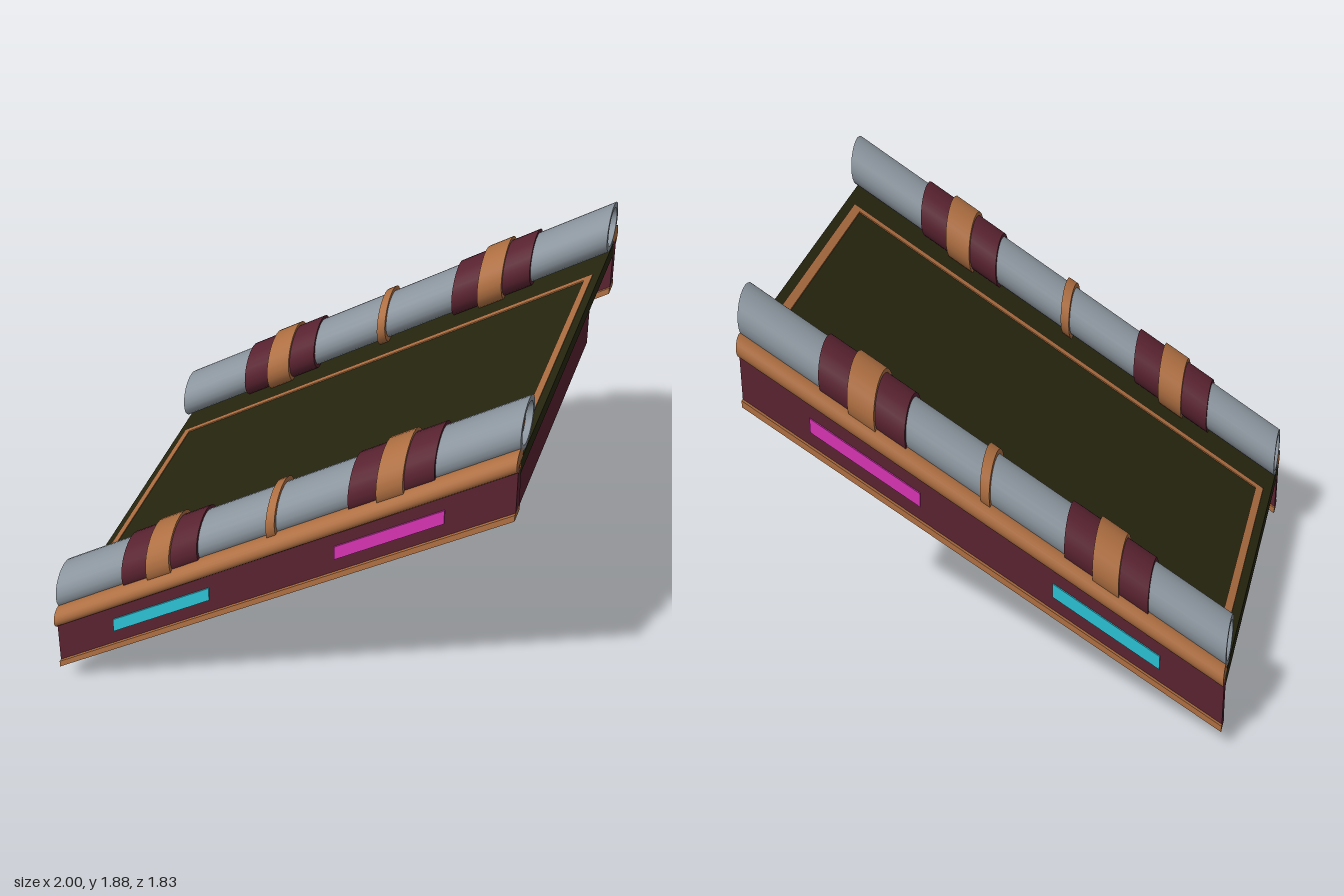
import * as THREE from 'three';
import { mergeGeometries } from 'three/addons/utils/BufferGeometryUtils.js';

const SLOPE = 0.65;

const paint = (name, color) => {
  const m = new THREE.MeshStandardMaterial({ color });
  m.name = name;
  return m;
};

export function createModel() {
  const olive = paint('dark olive', 0x27260f);
  const maroon = paint('maroon', 0x5a2331);
  const copper = paint('copper', 0xb07042);
  const steel = paint('steel grey', 0x8c969f);
  const cyan = paint('cyan light', 0x2cc3d6);
  const magenta = paint('magenta light', 0xd934b4);

  const model = new THREE.Group();
  model.name = 'slopedRamp';

  // Everything is laid out level, then sheared upwards along x
  const shear = new THREE.Matrix4().set(
    1, 0, 0, 0,
    SLOPE, 1, 0, 0,
    0, 0, 1, 0,
    0, 0, 0, 1);

  const add = (parent, name, geometry, material) => {
    geometry.applyMatrix4(shear);
    const mesh = new THREE.Mesh(geometry, material);
    mesh.name = name;
    parent.add(mesh);
  };

  // Box given by its limits on each axis
  const box = (parent, name, material, x0, x1, y0, y1, z0, z1) => {
    const g = new THREE.BoxGeometry(x1 - x0, y1 - y0, z1 - z0);
    g.translate((x0 + x1) / 2, (y0 + y1) / 2, (z0 + z1) / 2);
    add(parent, name, g, material);
  };

  // Cylinder lying along x
  const rod = (parent, name, material, r, x0, x1, y, z) => {
    const g = new THREE.CylinderGeometry(r, r, x1 - x0, 24);
    g.rotateZ(-Math.PI / 2).translate((x0 + x1) / 2, y, z);
    add(parent, name, g, material);
  };

  // Hull and layered deck
  box(model, 'hull', maroon, -0.95, 0.95, 0.6175, 0.868, -0.645, 0.645);
  box(model, 'hullSpacer', olive, -0.85, 0.85, 0.86, 0.92, -0.6, 0.6);
  box(model, 'deckUnderlay', olive, -0.98, 0.98, 0.917, 0.937, -0.835, 0.835);
  box(model, 'deck', olive, -1, 1, 0.936, 1.005, -0.855, 0.855);

  // Thin inlaid frame on the deck
  const frame = new THREE.Group();
  frame.name = 'deckFrame';
  model.add(frame);
  for (const s of [-1, 1]) {
    const zc = s * 0.557, xc = s * 0.949;
    box(frame, 'frameLongStrip', copper, -0.965, 0.965, 1.004, 1.011, zc - 0.016, zc + 0.016);
    box(frame, 'frameEndStrip', copper, xc - 0.016, xc + 0.016, 1.004, 1.011, -0.541, 0.541);
  }

  // Pipe wall with recessed ends, from pairs of profile points
  const pipeGeometry = () => {
    const p = [[0.086, -0.97], [0.086, -1], [0.11, -1], [0.11, 1], [0.086, 1], [0.086, 0.97]]
      .map(([r, y]) => new THREE.Vector2(r, y));
    const pieces = [];
    for (let i = 0; i < p.length - 1; i++) {
      pieces.push(new THREE.LatheGeometry([p[i], p[i + 1]], 24));
    }
    return mergeGeometries(pieces).rotateZ(-Math.PI / 2);
  };

  for (const s of [1, -1]) {
    const side = new THREE.Group();
    side.name = s > 0 ? 'frontSide' : 'backSide';
    model.add(side);
    const slab = (name, mat, x0, x1, y0, y1, zIn, zOut) =>
      box(side, name, mat, x0, x1, y0, y1, Math.min(s * zIn, s * zOut), Math.max(s * zIn, s * zOut));

    // Side panel, lower trim and rounded top rail
    slab('sidePanel', maroon, -1, 1, 0.76, 1.0, 0.83, 0.883);
    slab('lowerTrim', copper, -1, 1, 0.746, 0.776, 0.818, 0.898);
    rod(side, 'topRail', copper, 0.05, -1, 1, 1.016, s * 0.865);

    // Coloured light strips
    slab('cyanLight', cyan, -0.73, -0.28, 0.842, 0.907, 0.882, 0.89);
    slab('magentaLight', magenta, 0.27, 0.72, 0.842, 0.907, 0.882, 0.89);

    // Pipe with its copper core showing at the ends
    const y = 1.12, z = s * 0.763;
    add(side, 'pipe', pipeGeometry().translate(0, y, z), steel);
    rod(side, 'pipeCore', copper, 0.087, -0.972, 0.972, y, z);

    // Sleeves, bands and the centre ring
    for (const x of [-0.5, 0.5]) {
      rod(side, 'pipeSleeve', maroon, 0.126, x - 0.174, x + 0.174, y, z);
      rod(side, 'pipeBand', copper, 0.143, x - 0.054, x + 0.054, y, z);
    }
    rod(side, 'centreRing', copper, 0.131, -0.019, 0.019, y, z);
  }
  return model;
}
